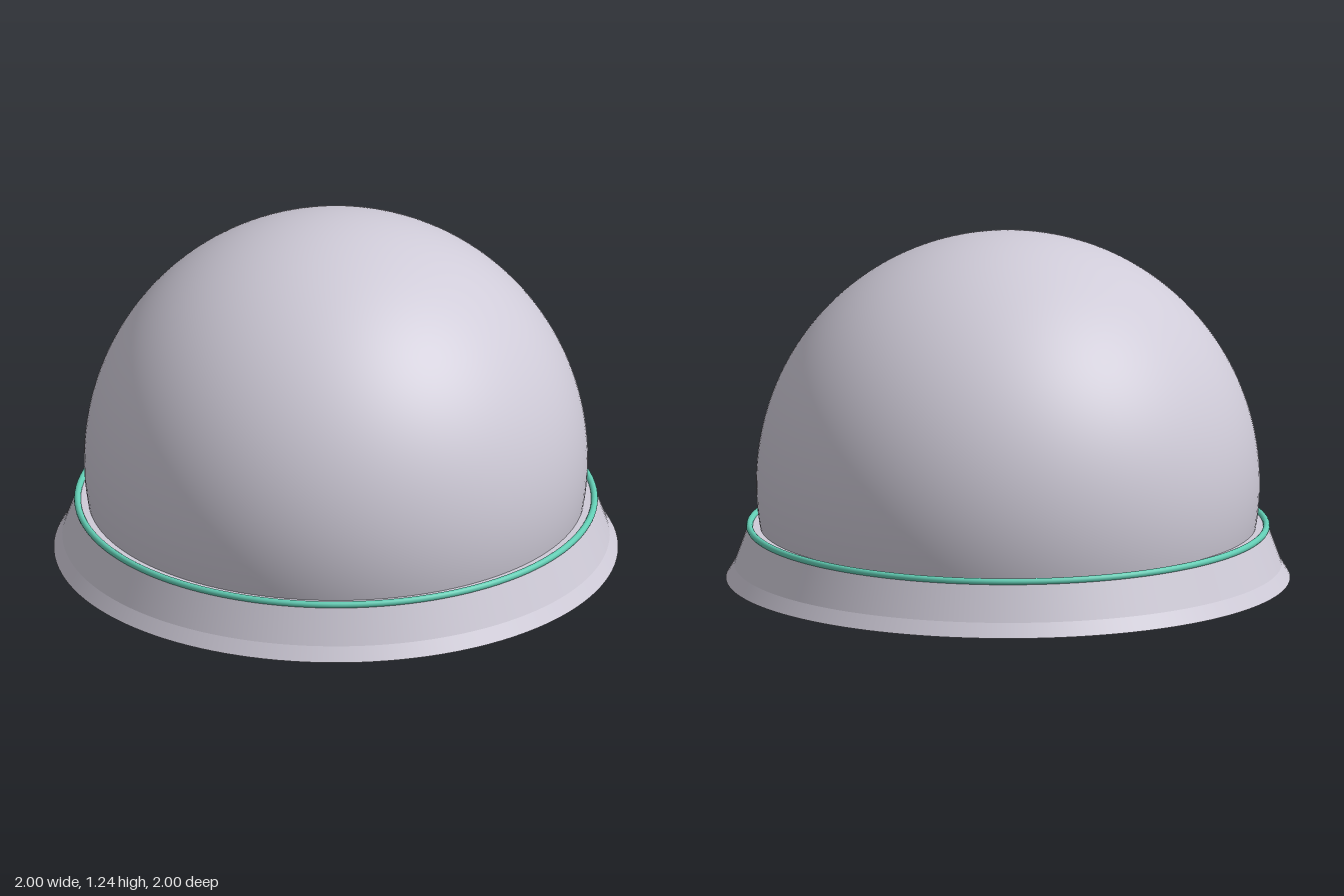
import * as THREE from 'three';

const SEGMENTS = 128;

// Lathe with hard edges: inner profile points are doubled so each band keeps its own normals.
function creasedLathe(profile) {
  const points = profile.flatMap(([r, y], i) => {
    const inner = i > 0 && i < profile.length - 1;
    return Array.from({ length: inner ? 2 : 1 }, () => new THREE.Vector2(r, y));
  });
  return new THREE.LatheGeometry(points, SEGMENTS);
}

export function createModel() {
  const shell = new THREE.MeshStandardMaterial({ color: 0xcfcbd8 });
  shell.name = 'pale lavender grey';
  const trim = new THREE.MeshStandardMaterial({ color: 0x62cdb4 });
  trim.name = 'teal';

  const group = new THREE.Group();
  group.name = 'domeOnBase';
  const add = (name, geometry, material, y = 0) => {
    const mesh = new THREE.Mesh(geometry, material);
    mesh.name = name;
    mesh.position.y = y;
    group.add(mesh);
    return mesh;
  };

  // Flared base: closed underside, foot bevel, sloping wall, flat top
  add('base', creasedLathe([[0, 0], [1, 0], [0.97, 0.05], [0.92, 0.187], [0, 0.187]]), shell);

  // Dome: a sphere cut off just inside the base
  const radius = 0.893, centre = 0.347;
  const cut = Math.acos((0.17 - centre) / radius);
  add('dome', new THREE.SphereGeometry(radius, SEGMENTS, 64, 0, Math.PI * 2, 0, cut), shell, centre);

  // Coloured ring around the top edge of the base
  const ring = add('trimRing', new THREE.TorusGeometry(0.916, 0.012, 16, SEGMENTS), trim, 0.187);
  ring.rotation.x = Math.PI / 2;

  return group;
}
